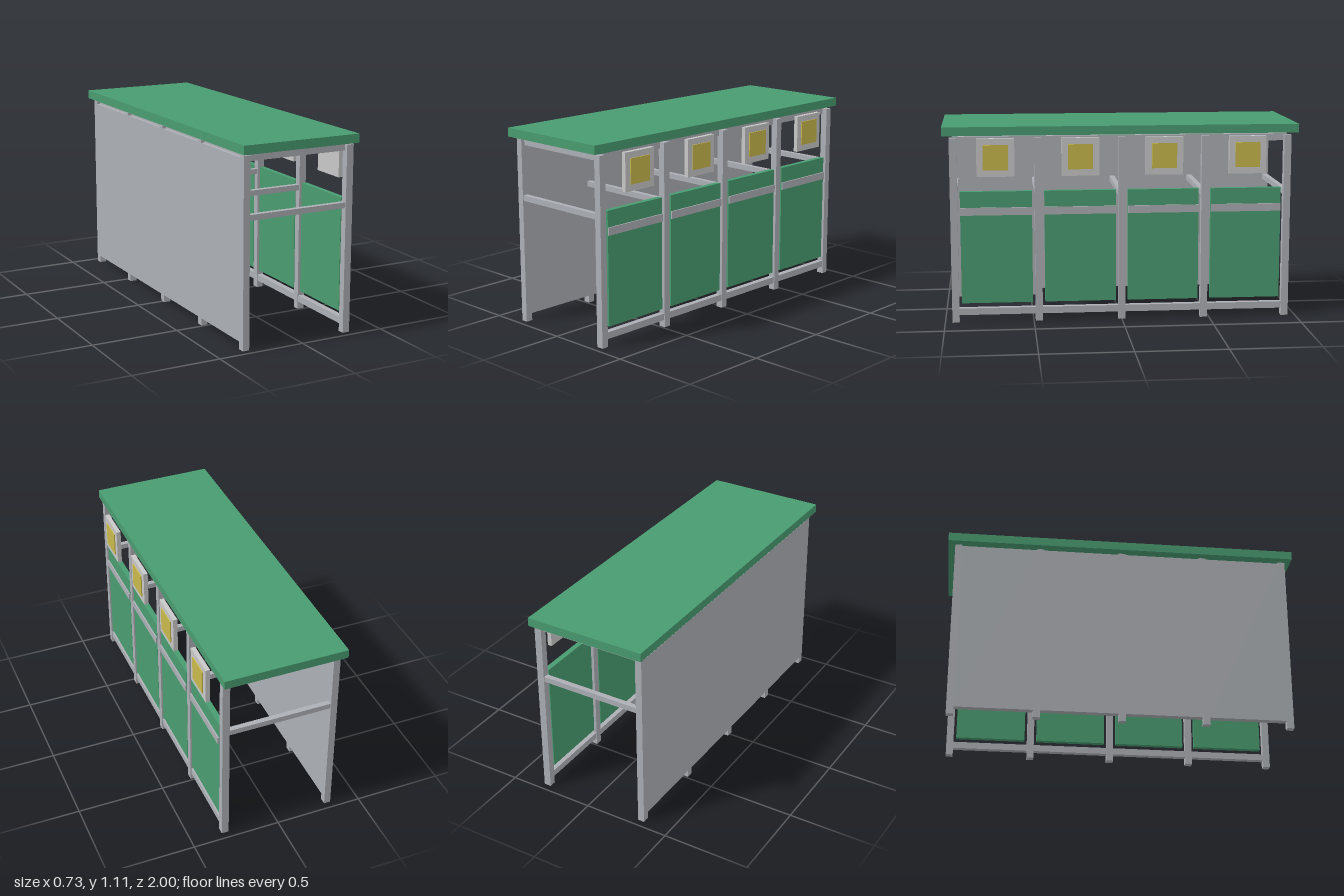
import * as THREE from 'three';

const mat = (name, color) => {
  const m = new THREE.MeshStandardMaterial({ color });
  m.name = name;
  return m;
};

export function createModel() {
  const model = new THREE.Group();
  model.name = 'shelter';
  const green = mat('green', 0x489b70);
  const steel = mat('steelGrey', 0xacafb4);
  const pale = mat('paleGrey', 0xc8c8c8);
  const yellow = mat('yellow', 0xc8b84b);

  // Box given by its extents along each axis
  const box = (name, material, [x0, x1], [y0, y1], [z0, z1]) => {
    const mesh = new THREE.Mesh(new THREE.BoxGeometry(x1 - x0, y1 - y0, z1 - z0), material);
    mesh.position.set((x0 + x1) / 2, (y0 + y1) / 2, (z0 + z1) / 2);
    mesh.name = name;
    model.add(mesh);
  };
  const around = (c, half) => [c - half, c + half];

  // Flat roof slab
  box('roof', green, [-0.365, 0.33], [1.058, 1.107], [-1, 1]);

  // Five frames: two posts and a middle crossbar each
  for (let i = -2; i <= 2; i++) {
    const z = i * 0.47;
    box('counterPost', steel, [0.281, 0.322], [0, 1.045], around(z, 0.02));
    box('wallPost', steel, [-0.342, -0.304], [0, 1.045], around(z, 0.02));
    box('crossbar', steel, [-0.304, 0.281], [0.7, 0.731], around(z, 0.015));
  }

  // Roof beams around the top and the rail under the panels
  for (const s of [-1, 1]) box('endBeam', steel, [-0.32, 0.29], [1.01, 1.05], around(s * 0.922, 0.017));
  box('counterBeam', steel, [0.255, 0.29], [1.01, 1.05], [-0.94, 0.94]);
  box('wallBeam', steel, [-0.32, -0.3], [1.01, 1.05], [-0.94, 0.94]);
  box('bottomRail', steel, [0.284, 0.318], [0.042, 0.08], [-0.93, 0.93]);

  // Wall sections between the rear posts, flush with them
  for (let i = -2; i < 2; i++) {
    box('wallPanel', steel, [-0.342, -0.304], [0.042, 1.03], [i * 0.47 + 0.02, i * 0.47 + 0.45]);
  }

  // Four bays: counter panel with a trim strip, and a sign above it
  for (const z of [-0.705, -0.235, 0.235, 0.705]) {
    box('counterPanel', green, [0.287, 0.318], [0.11, 0.745], around(z, 0.2));
    box('trimStrip', steel, [0.318, 0.326], [0.612, 0.655], around(z, 0.2));
    box('signFrame', pale, [0.33, 0.355], [0.833, 1.045], around(z, 0.105));
    box('signFace', yellow, [0.355, 0.361], [0.87, 1.01], around(z, 0.07));
  }
  return model;
}
